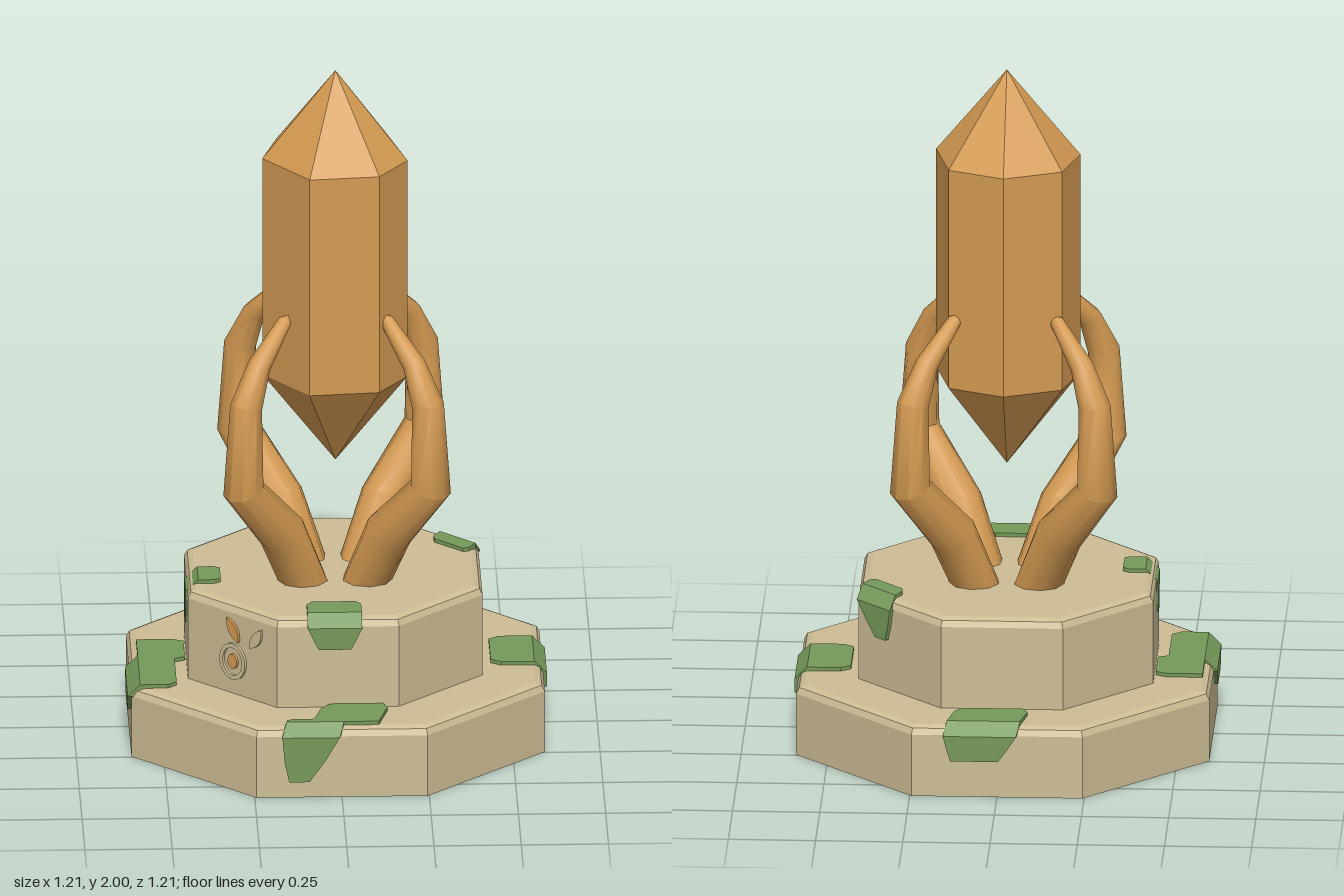
import * as THREE from 'three';
import { toCreasedNormals } from 'three/addons/utils/BufferGeometryUtils.js';

const mat = (name, color) => Object.assign(new THREE.MeshStandardMaterial({ color }), { name });

// Skin a list of rings (counterclockwise about the path), closing each end on a point
function loft(rings, start, end, crease) {
  const n = rings[0].length, index = [];
  const centre = r => r.reduce((a, p) => a.add(p), new THREE.Vector3()).divideScalar(n);
  const pts = rings.flat();
  const last = (rings.length - 1) * n, s = pts.length, e = s + 1;
  pts.push(start || centre(rings[0]), end || centre(rings[rings.length - 1]));
  for (let j = 0; j < n; j++) {
    const k = (j + 1) % n;
    for (let i = 0; i < last; i += n) index.push(i + j, i + k, i + n + k, i + j, i + n + k, i + n + j);
    index.push(s, k, j, e, last + j, last + k);
  }
  const g = new THREE.BufferGeometry().setFromPoints(pts);
  g.setIndex(index);
  return toCreasedNormals(g, crease);
}

// Octagonal stone block with a bevelled rim; r is the distance to a flat side
function octagon(r, y0, y1) {
  const k = 1 / Math.cos(Math.PI / 8), b = 0.025;
  const profile = [[0, y0], [r, y0], [r, y1 - b], [r - b * 0.35, y1 - b * 0.3], [r - b, y1], [0, y1]]
    .map(([x, y]) => new THREE.Vector2(x * k, y));
  return toCreasedNormals(new THREE.LatheGeometry(profile, 8, Math.PI / 8), 0.3);
}

// Moss sheet spanning u0..u1 along a step's edge: reaches `top` inward over the rim and
// `hang` down the side, where it narrows to `end` of its width and drifts by `lean`
function drape(step, u0, u1, top, hang, end, lean) {
  const t = 0.011, mid = (u0 + u1) / 2, half = (u1 - u0) / 2;
  const rows = [[-top, 0.8], [-top * 0.8, 1], [-0.025, 1]];
  if (hang) rows.push([0.025, 1], [hang * 0.65, (1 + end) / 2], [hang, end]);
  return loft(rows.map(([s, width]) => {
    const at = (side, d) => {
      const u = mid + lean * s + side * half * width;
      return s < 0 ? new THREE.Vector3(u, step.h + d, step.r + s) : new THREE.Vector3(u, step.h - s, step.r + d);
    };
    return [at(-1, -t), at(1, -t), at(1, t), at(-1, t)];
  }), null, null, 0.4);
}

export function createModel() {
  const model = new THREE.Group();
  const stone = mat('stone', 0xcdbd95), amber = mat('amber', 0xd49a52), green = mat('moss', 0x76995a);
  const add = (name, geo, m, parent = model) => {
    const mesh = new THREE.Mesh(geo, m);
    mesh.name = name;
    parent.add(mesh);
    return mesh;
  };

  // Stepped pedestal
  const lower = { r: 0.592, h: 0.21 }, upper = { r: 0.422, h: 0.48 };
  add('lowerStep', octagon(lower.r, 0, lower.h), stone);
  add('upperStep', octagon(upper.r, 0.2, upper.h), stone).position.set(-0.006, 0, -0.003);

  // Crystal: uneven seven-sided column with two points
  const outline = [[0.205, 0.05], [0.16, -0.14], [0, -0.21], [-0.165, -0.14], [-0.21, 0.02], [-0.08, 0.2], [0.12, 0.18]];
  const ring = y => outline.map(([x, z]) => new THREE.Vector3(x, y, z));
  add('crystal', loft([ring(1.08), ring(1.74)],
    new THREE.Vector3(0, 0.81, 0), new THREE.Vector3(0, 2, 0), 0.3), amber);

  // Four curved prongs: [diagonal offset along x and z, height, radius]
  const path = [[0.085, 0.46, 0.072], [0.15, 0.64, 0.07], [0.268, 0.82, 0.06],
    [0.26, 1.07, 0.047], [0.222, 1.18, 0.034], [0.145, 1.29, 0.02]];
  const centres = path.map(([d, y]) => new THREE.Vector3(d * Math.SQRT2, y, 0));
  const rings = centres.map((c, i) => {
    const a = centres[Math.max(i - 1, 0)], b = centres[Math.min(i + 1, path.length - 1)];
    const tan = i === 0 ? new THREE.Vector3(0, 1, 0)
      : b.clone().sub(c).normalize().add(c.clone().sub(a).normalize()).normalize();
    const n = new THREE.Vector3(tan.y, -tan.x, 0), side = tan.clone().cross(n), r = path[i][2];
    return Array.from({ length: 9 }, (_, j) => {
      const q = j / 9 * Math.PI * 2;
      return c.clone().addScaledVector(n, r * Math.cos(q)).addScaledVector(side, r * Math.sin(q));
    });
  });
  const prongGeo = loft(rings, null, new THREE.Vector3(0.19, 1.303, 0), 0.75);
  for (let i = 0; i < 4; i++) {
    const prong = add('prong', prongGeo, amber);
    prong.rotation.y = Math.PI / 4 + i * Math.PI / 2;
    prong.position.x = -0.004;
  }

  // Moss patches: name, step, facing in quarter turns, then u0, u1, top, hang, end, lean
  const patches = [
    ['frontTopMoss', lower, 0, -0.09, 0.1, 0.17, 0, 1, -0.25],
    ['frontHangingMoss', lower, 0, -0.165, 0.0, 0.05, 0.16, 0.35, -0.25],
    ['frontUpperMoss', upper, 0, -0.093, 0.063, 0.115, 0.09, 0.6, 0],
    ['leftMoss', lower, 1, -0.095, 0.115, 0.15, 0.07, 0.9, 0],
    ['backMoss', lower, 2, -0.15, 0.06, 0.14, 0.1, 0.65, -0.2],
    ['rightTopMoss', lower, -1, -0.12, 0.04, 0.16, 0, 1, 0],
    ['rightHangingMoss', lower, -1, 0.01, 0.25, 0.13, 0.08, 0.6, 0],
    ['rightUpperMoss', upper, -1, 0.01, 0.12, 0.09, 0.13, 0.4, 0],
    ['cornerMoss', upper, 1.5, -0.17, -0.03, 0.08, 0.12, 0.3, 0.3],
  ];
  for (const [name, step, turns, ...size] of patches)
    add(name, drape(step, ...size), green).rotation.y = turns * Math.PI / 2;

  // Small carved ornament on the front right face
  const carving = new THREE.Group();
  carving.name = 'carving';
  carving.rotation.y = -Math.PI / 4;
  model.add(carving);
  const plate = (name, shape, m, x, y, turn) => {
    const geo = new THREE.ExtrudeGeometry(shape, { depth: 0.008, bevelEnabled: false, curveSegments: 10 });
    const mesh = add(name, geo, m, carving);
    mesh.position.set(x, y, upper.r + 0.003);
    mesh.rotation.z = turn;
  };
  const oval = (rx, ry) => new THREE.Shape().absellipse(0, 0, rx, ry, 0, Math.PI * 2);
  const hoop = oval(0.05, 0.055);
  hoop.holes.push(oval(0.037, 0.042));
  const leaf = new THREE.Shape();
  leaf.moveTo(0, -0.04).quadraticCurveTo(0.035, 0, 0, 0.04).quadraticCurveTo(-0.03, 0, 0, -0.04);
  plate('carvedHoop', hoop, stone, 0, 0.31, 0);
  plate('carvedBoss', oval(0.018, 0.022), amber, 0, 0.31, 0);
  plate('carvedLeaf', leaf, amber, 0, 0.405, 0.6);
  plate('carvedLeaf', leaf, stone, 0.09, 0.4, -0.6);
  return model;
}
